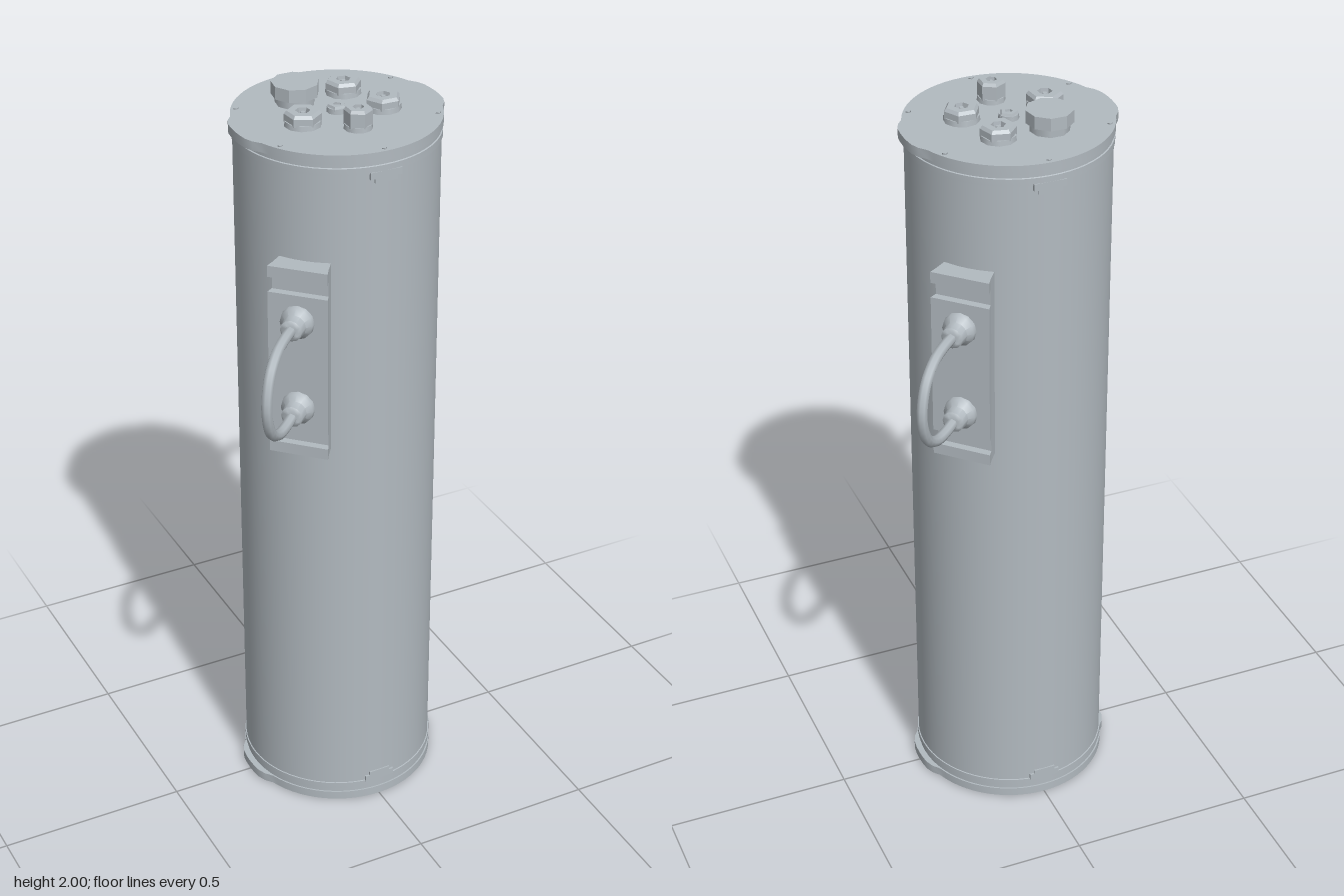
import * as THREE from 'three';
import { toCreasedNormals } from 'three/addons/utils/BufferGeometryUtils.js';

const steel = new THREE.MeshStandardMaterial({ color: 0xb2bac0 });
steel.name = 'grey steel';

function add(parent, name, geometry, x = 0, y = 0, z = 0) {
  const mesh = new THREE.Mesh(geometry, steel);
  mesh.name = name;
  mesh.position.set(x, y, z);
  parent.add(mesh);
  return mesh;
}

// Revolved profile with crisp edges; points are [radius, height]
function turned(points, sides, crease = 0.7) {
  const g = new THREE.LatheGeometry(points.map(([r, h]) => new THREE.Vector2(r, h)), sides);
  return toCreasedNormals(g, crease);
}

// Disc outline with a raised lug on each x side
function lidShape() {
  const pts = [];
  for (let i = 0; i < 72; i++) {
    const a = (i / 72) * Math.PI * 2;
    const z = 0.261 * Math.sin(a);
    const t = THREE.MathUtils.clamp((0.085 - Math.abs(z)) / 0.025, 0, 1);
    const r = 0.261 + 0.013 * t;
    pts.push(new THREE.Vector2(r * Math.cos(a), r * Math.sin(a)));
  }
  return new THREE.Shape(pts);
}

// End cap with lid, groove band, tabs and pins, built with its outer face up at y = 0
function endCap(name) {
  const cap = new THREE.Group();
  cap.name = name;
  const lid = new THREE.ExtrudeGeometry(lidShape(), { depth: 0.024, bevelEnabled: false });
  lid.rotateX(Math.PI / 2);
  add(cap, 'lid', toCreasedNormals(lid, 0.6));
  add(cap, 'capBand', turned([[0.25, -0.056], [0.26, -0.054], [0.26, -0.036], [0.252, -0.032], [0.252, -0.02]], 64));
  for (const s of [-1, 1]) {
    add(cap, 'tab', new THREE.BoxGeometry(0.085, 0.018, 0.012), 0, -0.06, s * 0.254);
    add(cap, 'tabTip', new THREE.BoxGeometry(0.06, 0.012, 0.012), 0, -0.074, s * 0.254);
  }
  for (let i = 0; i < 6; i++) {
    const a = Math.PI / 2 + (i * Math.PI) / 3;
    add(cap, 'lidPin', new THREE.CylinderGeometry(0.007, 0.007, 0.004, 4), 0.247 * Math.cos(a), 0.001, 0.247 * Math.sin(a));
  }
  return cap;
}

// Nut on a washer with a recessed bore and a small stem inside
function fitting(parent, name, x, z, r, h, sides, turn) {
  const g = new THREE.Group();
  g.name = name;
  g.position.set(x, 1.944, z);
  g.rotation.y = turn;
  add(g, 'washer', new THREE.CylinderGeometry(r * 0.96, r, 0.014, 10), 0, 0.007, 0);
  const bore = r * 0.4;
  add(g, 'nut', turned([[r * 0.98, 0.01], [r * 0.98, h - 0.008], [r * 0.84, h], [bore, h], [bore * 0.9, h - 0.015], [0, h - 0.015]], sides, 0.3));
  add(g, 'stem', new THREE.CylinderGeometry(bore * 0.35, bore * 0.5, 0.012, 5), 0, h - 0.01, 0);
  parent.add(g);
}

// Handle unit facing local +z
function handleUnit(name) {
  const g = new THREE.Group();
  g.name = name;
  // Trapezoid-section block: wider on its outer side
  const block = (label, y, height, z0, z1, w0, w1) => {
    const s = new THREE.Shape([
      new THREE.Vector2(-w0, -z0), new THREE.Vector2(w0, -z0),
      new THREE.Vector2(w1, -z1), new THREE.Vector2(-w1, -z1),
    ].reverse());
    const geo = new THREE.ExtrudeGeometry(s, { depth: height, bevelEnabled: false });
    geo.rotateX(-Math.PI / 2);
    add(g, label, geo, 0, y, 0);
  };
  block('backPlate', 1.14, 0.52, 0.25, 0.288, 0.066, 0.072);
  block('mountPad', 1.21, 0.38, 0.282, 0.308, 0.071, 0.077);
  block('upperClamp', 1.63, 0.03, 0.262, 0.308, 0.066, 0.077);
  block('lowerClamp', 1.14, 0.03, 0.262, 0.308, 0.066, 0.077);
  for (const y of [1.28, 1.52]) {
    const boss = turned([[0.044, 0], [0.042, 0.016], [0.03, 0.028], [0.028, 0.054], [0.02, 0.06], [0, 0.06]], 12, 0.8);
    boss.rotateX(Math.PI / 2);
    add(g, 'boss', boss, 0, y, 0.305);
  }
  // Bent bar
  const path = new THREE.CatmullRomCurve3([
    [1.52, 0.34], [1.522, 0.41], [1.512, 0.465], [1.475, 0.515], [1.4, 0.539],
    [1.325, 0.515], [1.288, 0.465], [1.278, 0.41], [1.28, 0.34],
  ].map(([y, z]) => new THREE.Vector3(0, y, z)));
  add(g, 'handleBar', new THREE.TubeGeometry(path, 28, 0.014, 8));
  return g;
}

export function createModel() {
  const model = new THREE.Group();
  model.name = 'cylindricalHousing';

  add(model, 'body', new THREE.CylinderGeometry(0.257, 0.257, 1.9, 64), 0, 0.9725, 0);

  // Matching caps at both ends
  const top = endCap('topCap');
  top.position.y = 1.945;
  const bottom = endCap('bottomCap');
  bottom.rotation.x = Math.PI;
  bottom.position.y = 0.003;
  model.add(top, bottom);

  // Fittings on the top lid
  fitting(model, 'nutBack', 0.066, -0.095, 0.046, 0.038, 6, 0.3);
  fitting(model, 'nutRight', -0.11, 0.035, 0.047, 0.038, 6, 0.1);
  fitting(model, 'nutLeft', 0.109, 0.035, 0.046, 0.038, 6, 0.5);
  fitting(model, 'valve', 0, 0.113, 0.036, 0.056, 6, 0);
  fitting(model, 'centreBolt', 0, 0, 0.026, 0.02, 5, 0.6);
  add(model, 'plugNeck', new THREE.CylinderGeometry(0.05, 0.05, 0.03, 9), -0.067, 1.957, -0.095);
  add(model, 'plug', toCreasedNormals(new THREE.CylinderGeometry(0.06, 0.06, 0.033, 9), 0.3), -0.067, 1.9835, -0.095);

  // Handles on opposite diagonals
  const rear = handleUnit('rearHandle');
  rear.rotation.y = Math.PI * 0.75;
  const front = handleUnit('frontHandle');
  front.rotation.y = -Math.PI * 0.25;
  model.add(rear, front);

  return model;
}
